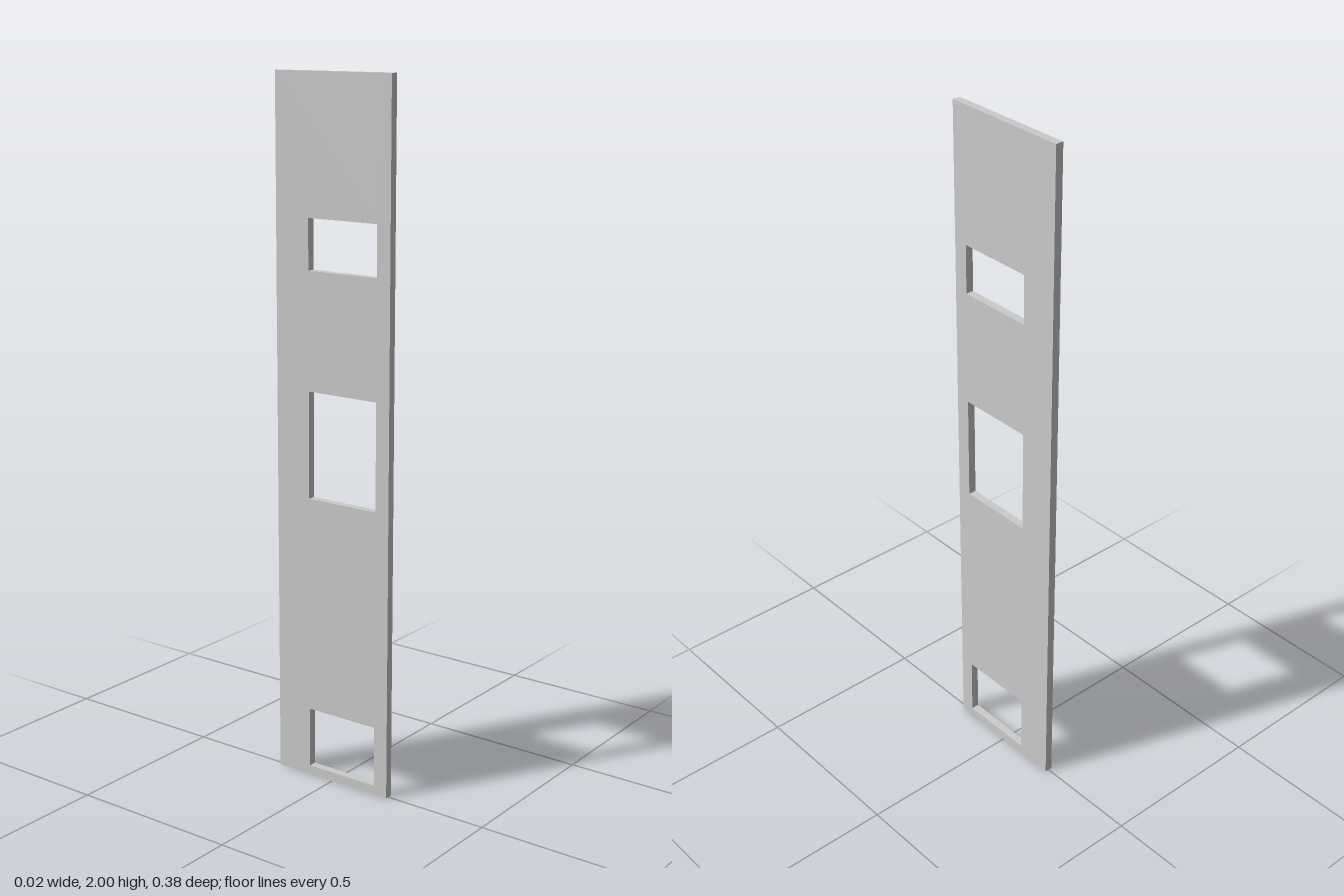
import * as THREE from 'three';

const THICKNESS = 0.023;

// Rectangle traced onto a Shape or Path
function rect(path, x0, y0, x1, y1) {
  path.moveTo(x0, y0);
  path.lineTo(x1, y0);
  path.lineTo(x1, y1);
  path.lineTo(x0, y1);
  path.closePath();
  return path;
}

export function createModel() {
  const model = new THREE.Group();
  model.name = 'windowedPanel';

  // Tall panel outline, drawn with local x running towards -z
  const outline = rect(new THREE.Shape(), -0.19, 0, 0.19, 2);

  // Three openings in one column: bottom and top of each
  for (const [bottom, top] of [[0.027, 0.203], [0.832, 1.138], [1.472, 1.614]]) {
    outline.holes.push(rect(new THREE.Path(), -0.147, bottom, 0.08, top));
  }

  const geometry = new THREE.ExtrudeGeometry(outline, { depth: THICKNESS, bevelEnabled: false });
  geometry.translate(0, 0, -THICKNESS / 2);
  geometry.rotateY(Math.PI / 2);

  const panel = new THREE.Mesh(geometry, new THREE.MeshStandardMaterial({ color: 0xcccccc }));
  panel.name = 'wallPanel';
  model.add(panel);
  return model;
}
